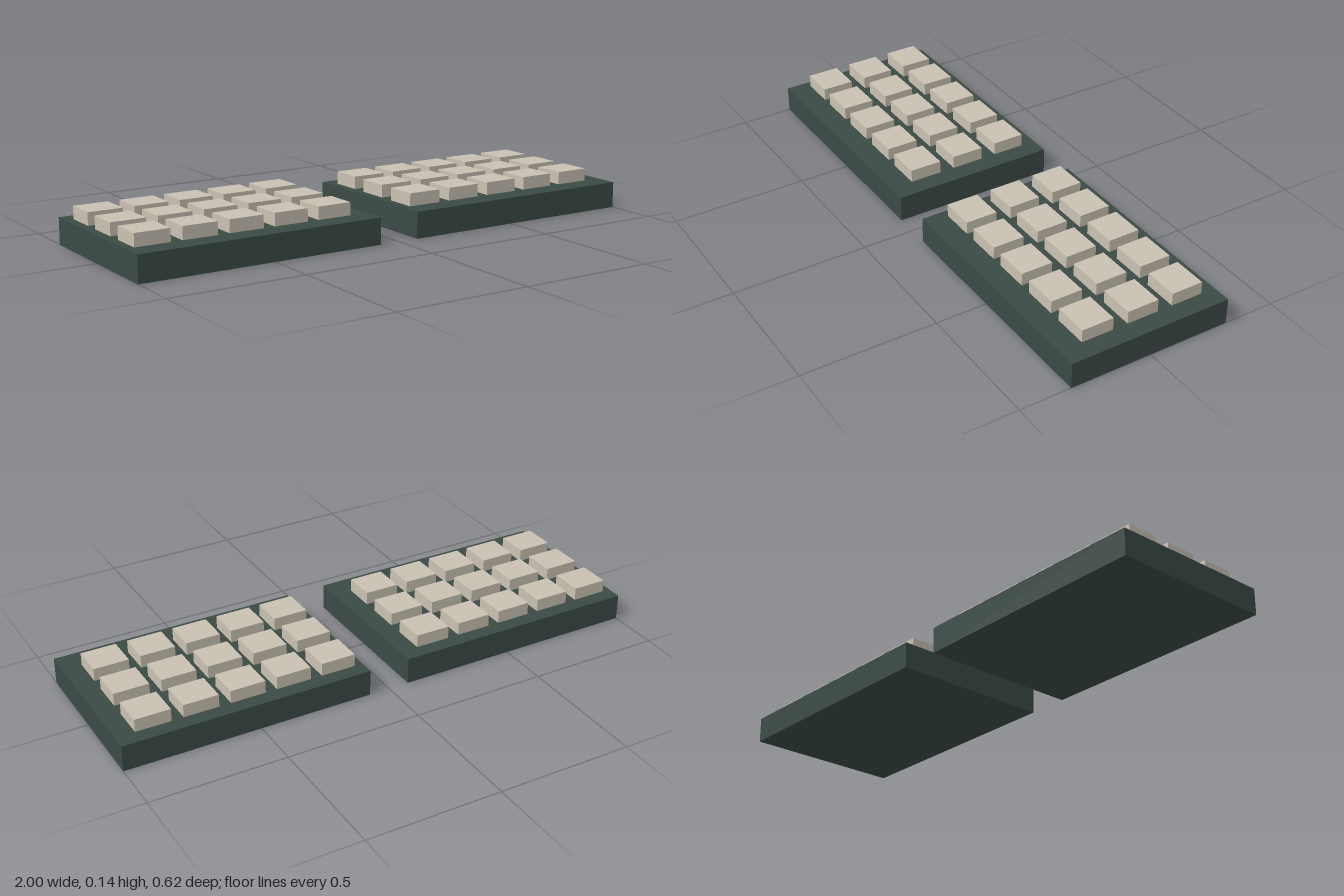
import * as THREE from 'three';

export function createModel() {
  const model = new THREE.Group();
  model.name = 'splitKeyboard';

  const caseGreen = new THREE.MeshStandardMaterial({ color: 0x3b4a46 });
  caseGreen.name = 'dark green case';
  const keyBeige = new THREE.MeshStandardMaterial({ color: 0xc9c1b2 });
  keyBeige.name = 'beige keycap';

  const caseHeight = 0.097, keyHeight = 0.047;
  const caseGeometry = new THREE.BoxGeometry(0.923, caseHeight, 0.615);
  const keyGeometry = new THREE.BoxGeometry(0.13, keyHeight, 0.12);

  // Both halves share one layout; it is shifted, not mirrored
  for (const [name, x] of [['rightHalf', -0.5385], ['leftHalf', 0.5385]]) {
    const half = new THREE.Group();
    half.name = name;
    half.position.x = x;

    const body = new THREE.Mesh(caseGeometry, caseGreen);
    body.name = 'case';
    body.position.y = caseHeight / 2;
    half.add(body);

    // Three rows of five keycaps, set slightly toward the back and -x side
    for (let row = 0; row < 3; row++) {
      for (let col = 0; col < 5; col++) {
        const key = new THREE.Mesh(keyGeometry, keyBeige);
        key.name = `keycap_${row + 1}_${col + 1}`;
        key.position.set(-0.366 + col * 0.173, caseHeight + keyHeight / 2, -0.192 + row * 0.177);
        half.add(key);
      }
    }
    model.add(half);
  }
  return model;
}
